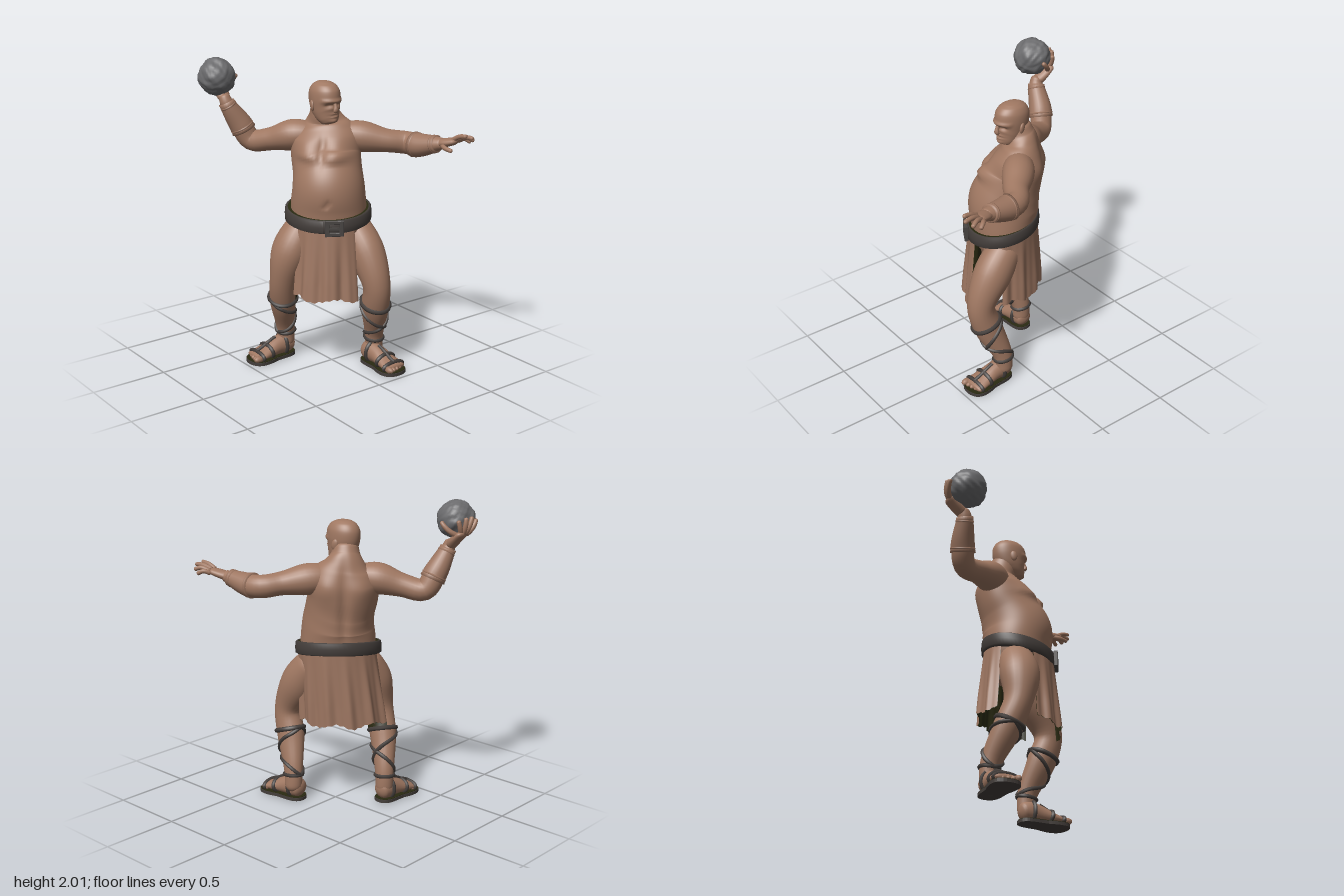
import * as THREE from 'three';
import { mergeVertices } from 'three/addons/utils/BufferGeometryUtils.js';

const mat = (name, color, side = THREE.FrontSide) => {
  const m = new THREE.MeshStandardMaterial({ color, side });
  m.name = name;
  return m;
};
const V = (x, y, z) => new THREE.Vector3(x, y, z);
const gauss = (d, w) => Math.exp(-(d * d) / (w * w));

// Surface through rings of points; closed rings wrap round
function loft(rings, closed = true) {
  const n = rings[0].length, pos = [], idx = [];
  rings.forEach(r => r.forEach(p => pos.push(p.x, p.y, p.z)));
  for (let i = 0; i < rings.length - 1; i++)
    for (let j = 0; j < (closed ? n : n - 1); j++) {
      const k = (j + 1) % n, a = i * n + j, b = i * n + k, c = a + n, d = b + n;
      idx.push(a, b, d, a, d, c);
    }
  const g = new THREE.BufferGeometry();
  g.setAttribute('position', new THREE.Float32BufferAttribute(pos, 3));
  g.setIndex(idx);
  g.computeVertexNormals();
  return g;
}

// Rounded, tapered body form; each point is [x, y, z, side radius, ref radius]
function limb(pts, ref, { seg = 32, sides = 24, round = 0.08, shape = null } = {}) {
  const path = new THREE.CatmullRomCurve3(pts.map(p => V(p[0], p[1], p[2])));
  const radii = new THREE.CatmullRomCurve3(pts.map(p => V(p[3], p[4], 0)), false, 'catmullrom');
  const at = (t, phi, grow = 0, w = 1) => {
    const T = path.getTangent(t), N = ref.clone().addScaledVector(T, -ref.dot(T)).normalize();
    const B = T.clone().cross(N), r = radii.getPoint(t);
    const p = path.getPoint(t).addScaledVector(B, Math.sin(phi) * (r.x + grow) * w)
      .addScaledVector(N, Math.cos(phi) * (r.y + grow) * w);
    if (shape) shape(p);
    return p;
  };
  const ring = (t, grow, w) => Array.from({ length: sides }, (_, j) => at(t, j / sides * Math.PI * 2, grow, w));
  const rings = [];
  for (let i = 0; i <= seg; i++) {
    const t = (1 - Math.cos(Math.PI * i / seg)) / 2;
    const e = Math.min(1, Math.min(t, 1 - t) / round);
    rings.push(ring(t, 0, Math.max(0.01, Math.sqrt(1 - (1 - e) ** 2))));
  }
  return { geo: loft(rings), at, ring };
}

// Cuff over part of a limb, closed at both rims
function sleeve(l, t0, t1, grow) {
  const rings = [l.ring(t0, -0.01)];
  for (let i = 0; i <= 10; i++) rings.push(l.ring(t0 + (t1 - t0) * i / 10, grow + (i % 10 ? 0 : 0.004)));
  rings.push(l.ring(t1, -0.01));
  return loft(rings);
}

// Leather cord wound over a limb
function strap(l, t0, t1, phi0, turns, r = 0.013) {
  const pts = [], n = 28, ring = t0 === t1;
  for (let i = 0; i < (ring ? n : n + 1); i++)
    pts.push(l.at(t0 + (t1 - t0) * i / n, phi0 + turns * Math.PI * 2 * i / n));
  return new THREE.TubeGeometry(new THREE.CatmullRomCurve3(pts, ring), 56, r, 6, ring);
}

export function createModel() {
  const skin = mat('skin', 0xa07862), cloth = mat('cloth', 0x9d7661);
  const lining = mat('dark lining', 0x2a2a12, THREE.DoubleSide);
  const leather = mat('dark leather', 0x443e3b), metal = mat('dark metal', 0x4a4644), stone = mat('stone', 0x6c6c6e);
  const root = new THREE.Group();
  const add = (parent, name, geo, m) => {
    const mesh = new THREE.Mesh(geo, m);
    mesh.name = name;
    parent.add(mesh);
    return mesh;
  };
  const X = V(1, 0, 0), Y = V(0, 1, 0), Z = V(0, 0, 1), F = V(-0.707, 0, 0.707);

  // Body turned an eighth to its right: local x is its left, local z its front
  const body = new THREE.Group();
  body.name = 'body';
  body.rotation.y = -Math.PI / 4;
  root.add(body);

  // Torso with chest, shoulder blades, spine groove and navel
  const muscles = p => {
    const l = p.x + 0.045, side = Math.abs(l);
    if (p.z > -0.05) {
      const k = Math.min(1, (p.z + 0.05) * 8), dy = p.y - 1.43;
      p.z += k * 0.04 * gauss(side - 0.1, 0.085) * gauss(dy, dy < 0 ? 0.032 : 0.1);
      p.z -= k * 0.016 * gauss(l, 0.018) * gauss(p.y - 1.46, 0.08);
      p.z -= k * 0.02 * gauss(p.x, 0.016) * gauss(p.y - 1.14, 0.016);
    } else {
      const k = Math.min(1, (-0.05 - p.z) * 10);
      p.z += k * 0.022 * gauss(l, 0.03) * gauss(p.y - 1.33, 0.24);
      p.z -= k * 0.018 * gauss(side - 0.12, 0.07) * gauss(p.y - 1.47, 0.09);
    }
  };
  add(body, 'torso', limb([
    [0, 0.84, 0.01, 0.19, 0.16], [-0.015, 0.97, 0.015, 0.235, 0.2], [-0.018, 1.08, 0.02, 0.243, 0.212],
    [-0.018, 1.2, 0.018, 0.232, 0.228], [-0.03, 1.31, -0.015, 0.222, 0.208], [-0.045, 1.41, -0.055, 0.225, 0.178],
    [-0.045, 1.5, -0.075, 0.225, 0.155], [-0.05, 1.57, -0.085, 0.185, 0.125], [-0.056, 1.62, -0.085, 0.13, 0.105],
    [-0.06, 1.67, -0.07, 0.092, 0.095], [-0.06, 1.75, -0.05, 0.075, 0.075]],
    Z, { seg: 90, sides: 72, round: 0.05, shape: muscles }).geo, skin);

  // Belt, dipping towards the buckle, with a dark gap behind its upper rim
  const dip = z => 1.045 - 0.17 * z;
  const hoop = (name, profile, m) => {
    const g = new THREE.LatheGeometry(profile.map(p => new THREE.Vector2(p[0], p[1])), 64);
    const bp = g.attributes.position;
    for (let i = 0; i < bp.count; i++) {
      const z = bp.getZ(i) * 0.85 + 0.026;
      bp.setXYZ(i, bp.getX(i) * 1.015 - 0.02, bp.getY(i) + dip(z), z);
    }
    g.computeVertexNormals();
    add(body, name, g, m);
  };
  hoop('belt', [[0.22, -0.04], [0.262, -0.044], [0.274, -0.036], [0.276, 0], [0.272, 0.036], [0.262, 0.044], [0.255, 0.04]], leather);
  hoop('beltGap', [[0.258, 0.041], [0.22, 0.036]], lining);

  // Buckle frame and prong
  const frame = new THREE.Shape().moveTo(-0.055, -0.048).lineTo(0.055, -0.048).lineTo(0.055, 0.048).lineTo(-0.055, 0.048);
  frame.holes.push(new THREE.Path().moveTo(-0.035, -0.03).lineTo(-0.035, 0.03).lineTo(0.035, 0.03).lineTo(0.035, -0.03));
  const buckle = new THREE.Group();
  buckle.name = 'buckle';
  buckle.position.set(0.05, 1.0, 0.248);
  buckle.rotation.y = 0.25;
  body.add(buckle);
  add(buckle, 'buckleFrame', new THREE.ExtrudeGeometry(frame, { depth: 0.02, bevelSize: 0.003, bevelThickness: 0.003, bevelSegments: 1 }), metal);
  add(buckle, 'buckleProng', new THREE.BoxGeometry(0.08, 0.014, 0.014), metal).position.z = 0.018;

  // Loincloth flaps with soft folds, lined in a dark shade; shift slides the hem sideways
  const flap = (name, from, to, hem, a, b, shift, b0) => {
    const layer = inset => {
      const rings = [], rows = 20, cols = 80;
      for (let i = 0; i <= rows; i++) {
        const v = 1 - i / rows, ring = [];
        for (let j = 0; j <= cols; j++) {
          const p = THREE.MathUtils.degToRad(from + (to - from) * j / cols);
          const fold = (0.011 * Math.sin(p * 12) + 0.004 * Math.sin(p * 25 + 1)) * Math.min(1, v * 1.3) - inset;
          const x = Math.sin(p) * (0.25 + (a - 0.25) * v + fold) - 0.01 + shift * v;
          const z = Math.cos(p) * (b0 + (b - b0) * v + fold) + 0.012;
          const top = dip(z), low = hem + 0.014 * Math.sin(p * 7) + 0.004 * Math.sin(p * 37);
          ring.push(V(x, top + (low - top) * v, z));
        }
        rings.push(ring);
      }
      return loft(rings, false);
    };
    add(body, name, layer(0), cloth);
    add(body, name + 'Lining', layer(0.004), lining);
  };
  flap('frontFlap', -45, 45, 0.52, 0.295, 0.28, 0, 0.235);
  flap('backFlap', 94, 264, 0.565, 0.285, 0.225, -0.045, 0.208);

  // Head, looking straight ahead
  const head = new THREE.Group();
  head.name = 'head';
  head.position.x = -0.015;
  root.add(head);
  const face = p => {
    if (p.z < 0) return;
    for (const s of [-1, 1]) p.z -= 0.016 * gauss(p.x - s * 0.034, 0.022) * gauss(p.y - 1.738, 0.014);
    p.z += 0.01 * gauss(p.y - 1.764, 0.013) + 0.012 * gauss(p.x, 0.03) * gauss(p.y - 1.637, 0.018);
    p.z += 0.007 * gauss(p.x, 0.03) * (gauss(p.y - 1.682, 0.006) + gauss(p.y - 1.664, 0.006));
    p.z -= 0.006 * gauss(p.x, 0.03) * gauss(p.y - 1.673, 0.004);
  };
  add(head, 'skull', limb([[0, 1.61, 0, 0.045, 0.04], [0, 1.64, -0.01, 0.066, 0.062], [0, 1.68, -0.03, 0.08, 0.09],
    [0, 1.72, -0.046, 0.087, 0.108], [0, 1.77, -0.054, 0.091, 0.117], [0, 1.82, -0.057, 0.086, 0.112],
    [0, 1.856, -0.058, 0.066, 0.086], [0, 1.879, -0.058, 0.03, 0.04]], Z, { seg: 80, sides: 56, round: 0.05, shape: face }).geo, skin);
  add(head, 'nose', limb([[0, 1.76, 0.05, 0.01, 0.01], [0, 1.73, 0.059, 0.012, 0.013], [0, 1.708, 0.064, 0.018, 0.014],
    [0, 1.694, 0.056, 0.016, 0.01]], Z, { seg: 14, sides: 12 }).geo, skin);
  for (const s of [-1, 1]) {
    const ear = add(head, 'ear', new THREE.SphereGeometry(1, 14, 10), skin);
    ear.scale.set(0.012, 0.036, 0.023);
    ear.position.set(s * 0.09, 1.73, -0.065);
    ear.rotation.set(-0.15, s * 0.35, 0);
  }

  // Arms with cuffs
  const leftArm = limb([[0.01, 1.52, -0.09, 0.06, 0.06], [0.18, 1.515, 0.045, 0.1, 0.1], [0.31, 1.49, 0.165, 0.075, 0.08],
    [0.415, 1.475, 0.24, 0.073, 0.07], [0.435, 1.475, 0.34, 0.07, 0.073], [0.462, 1.505, 0.48, 0.045, 0.05],
    [0.475, 1.515, 0.53, 0.033, 0.038]], F, { seg: 48 });
  const rightArm = limb([[0, 1.52, -0.1, 0.06, 0.06], [-0.12, 1.515, -0.235, 0.1, 0.105], [-0.21, 1.475, -0.37, 0.075, 0.08],
    [-0.28, 1.455, -0.5, 0.07, 0.07], [-0.335, 1.56, -0.54, 0.07, 0.07], [-0.42, 1.71, -0.57, 0.043, 0.045],
    [-0.425, 1.76, -0.59, 0.034, 0.036]], F, { seg: 48 });
  [['leftArm', leftArm], ['rightArm', rightArm]].forEach(([name, arm]) => {
    add(root, name, arm.geo, skin);
    add(root, name + 'Cuff', sleeve(arm, 0.61, 0.83, 0.006), cloth);
    for (const t of [0.64, 0.8]) add(root, name + 'CuffBand', strap(arm, t, t, 0, 1, 0.009), cloth);
  });

  // Left hand, open and reaching
  add(root, 'leftPalm', limb([[0.465, 1.508, 0.48, 0.034, 0.028], [0.483, 1.522, 0.54, 0.05, 0.028],
    [0.515, 1.542, 0.61, 0.048, 0.02]], Y, { seg: 16, sides: 16, round: 0.15 }).geo, skin);
  const finger = (pts, name, r = 0.016) => add(root, name, limb(pts.map((p, i) =>
    [p.x, p.y, p.z, r - i * 0.0015, r - i * 0.0015]), V(0.5, 0.8, 0.2), { seg: 12, sides: 10 }).geo, skin);
  [[[0.54, 1.53, 0.575], [0.575, 1.545, 0.605], [0.598, 1.525, 0.64]],
    [[0.53, 1.54, 0.585], [0.56, 1.56, 0.64], [0.582, 1.545, 0.685]],
    [[0.51, 1.545, 0.59], [0.53, 1.57, 0.65], [0.545, 1.57, 0.715]],
    [[0.49, 1.545, 0.585], [0.5, 1.575, 0.64], [0.508, 1.585, 0.695]],
    [[0.455, 1.51, 0.53], [0.435, 1.5, 0.58], [0.44, 1.49, 0.64]]]
    .forEach(f => finger(f.map(p => V(...p)), 'leftFinger'));

  // Boulder, roughened by overlapping waves
  const C = V(-0.478, 1.882, -0.58);
  let rock = new THREE.IcosahedronGeometry(1, 11);
  rock.deleteAttribute('uv');
  rock.deleteAttribute('normal');
  rock = mergeVertices(rock);
  const rp = rock.attributes.position, q = V(0, 0, 0);
  for (let i = 0; i < rp.count; i++) {
    q.fromBufferAttribute(rp, i);
    const n = Math.sin(q.x * 5 + q.y * 3) * Math.cos(q.z * 4 - q.x * 2) + 0.7 * Math.sin(q.y * 9 + q.z * 7) * Math.sin(q.x * 8 - q.z * 3);
    q.multiplyScalar(0.119 + 0.005 * n + 0.0025 * Math.sin(q.x * 17 + q.z * 5) * Math.sin(q.y * 15 + q.z * 13));
    rp.setXYZ(i, q.x, q.y, q.z);
  }
  rock.computeVertexNormals();
  add(root, 'boulder', rock, stone).position.copy(C);

  // Right hand, gripping the boulder from below and behind
  add(root, 'rightPalm', limb([[-0.422, 1.72, -0.575, 0.036, 0.034], [-0.42, 1.765, -0.625, 0.05, 0.03],
    [-0.42, 1.82, -0.69, 0.05, 0.02]], V(0, -0.6, -0.7), { seg: 16, sides: 16, round: 0.15 }).geo, skin);
  const grip = V(0.36, -0.72, -0.6);
  [[-0.25, 0.1, -1], [0.1, 0.25, -1], [0.42, 0.22, -0.9], [0.75, 0.1, -0.7], [0.98, 0, 0.12]].forEach((d, i) => {
    const pts = [0.2, 0.5, 0.75, 1].map(t => grip.clone().lerp(V(...d), t).normalize().multiplyScalar(0.134).add(C));
    finger(pts, i === 4 ? 'rightThumb' : 'rightFinger', 0.018);
  });

  // Legs wound with sandal cords
  const legs = {
    left: limb([[0.1, 1.0, 0.04, 0.1, 0.1], [0.12, 0.8, 0.2, 0.118, 0.128], [0.13, 0.59, 0.305, 0.089, 0.092],
      [0.15, 0.42, 0.265, 0.083, 0.096], [0.205, 0.2, 0.19, 0.057, 0.066], [0.21, 0.05, 0.185, 0.058, 0.06]], Z, { seg: 48 }),
    right: limb([[-0.13, 1.0, -0.08, 0.1, 0.1], [-0.255, 0.8, -0.1, 0.128, 0.118], [-0.29, 0.6, -0.13, 0.09, 0.094],
      [-0.26, 0.42, -0.19, 0.09, 0.083], [-0.19, 0.2, -0.265, 0.064, 0.06], [-0.185, 0.05, -0.27, 0.06, 0.058]], X, { seg: 48 }),
  };

  // Dark hollow behind the right knee
  const hollow = [0, 1, 2, 3, 4].map(i => Array.from({ length: 13 }, (_, j) =>
    legs.right.at(0.47 + i * 0.02, -1.1 + j * 2.2 / 12, 0.005)));
  add(root, 'kneeHollow', loft(hollow, false), lining);

  // Sole outline, toes towards +y before being laid flat
  const outline = new THREE.Shape().moveTo(0, -0.178).bezierCurveTo(0.09, -0.178, 0.065, -0.07, 0.075, 0)
    .bezierCurveTo(0.1, 0.08, 0.115, 0.176, 0, 0.178).bezierCurveTo(-0.115, 0.176, -0.1, 0.08, -0.075, 0)
    .bezierCurveTo(-0.065, -0.07, -0.09, -0.178, 0, -0.178);
  const slab = (depth, top) => new THREE.ExtrudeGeometry(outline, { depth, bevelEnabled: false, curveSegments: 12 })
    .rotateX(Math.PI / 2).translate(0, top, 0);
  const sole = slab(0.021, 0.021), insole = slab(0.003, 0.025).scale(0.97, 1, 0.98);
  const foot = limb([[0, 0.07, -0.172, 0.05, 0.05], [0, 0.08, -0.11, 0.06, 0.07], [0, 0.075, -0.04, 0.06, 0.062],
    [0, 0.058, 0.04, 0.072, 0.043], [0, 0.044, 0.11, 0.08, 0.028], [0, 0.038, 0.145, 0.075, 0.02]], Y, { seg: 28 });

  for (const [side, x, z, turn] of [['left', 0.19, 0.295, 0.03], ['right', -0.302, -0.272, -Math.PI / 2]]) {
    const leg = legs[side];
    add(root, side + 'Leg', leg.geo, skin);
    add(root, side + 'KneeStrap', strap(leg, 0.56, 0.56, 0, 1, 0.016), leather);
    add(root, side + 'AnkleStrap', strap(leg, 0.83, 0.83, 0, 1), leather);
    for (const s of [-1, 1]) add(root, side + 'CrossStrap', strap(leg, 0.56, 0.83, Math.PI, s), leather);

    const g = new THREE.Group();
    g.name = side + 'Foot';
    g.position.set(x, 0, z);
    g.rotation.y = turn;
    root.add(g);
    add(g, 'sole', sole, leather);
    add(g, 'insole', insole, lining);
    add(g, 'foot', foot.geo, skin);
    for (const t of [0.26, 0.58, 0.8]) add(g, 'footStrap', strap(foot, t, t, 0, 1, 0.014), leather);
    const inner = [0.4, 0.5, 0.6, 0.7, 0.82].map(t => foot.at(t, 0, 0.003));
    add(g, 'centreStrap', new THREE.TubeGeometry(new THREE.CatmullRomCurve3(inner), 16, 0.012, 6), leather);
    const big = side === 'left' ? -1 : 1;
    for (let i = 0; i < 5; i++) {
      const toe = add(g, 'toe', new THREE.SphereGeometry(1, 12, 8), skin), r = i ? 0.016 : 0.022;
      toe.scale.set(r, r, r * 1.7);
      toe.position.set(big * (0.06 - i * 0.031), 0.024 + r * 0.8, 0.14 - i * i * 0.002);
    }
  }
  return root;
}
